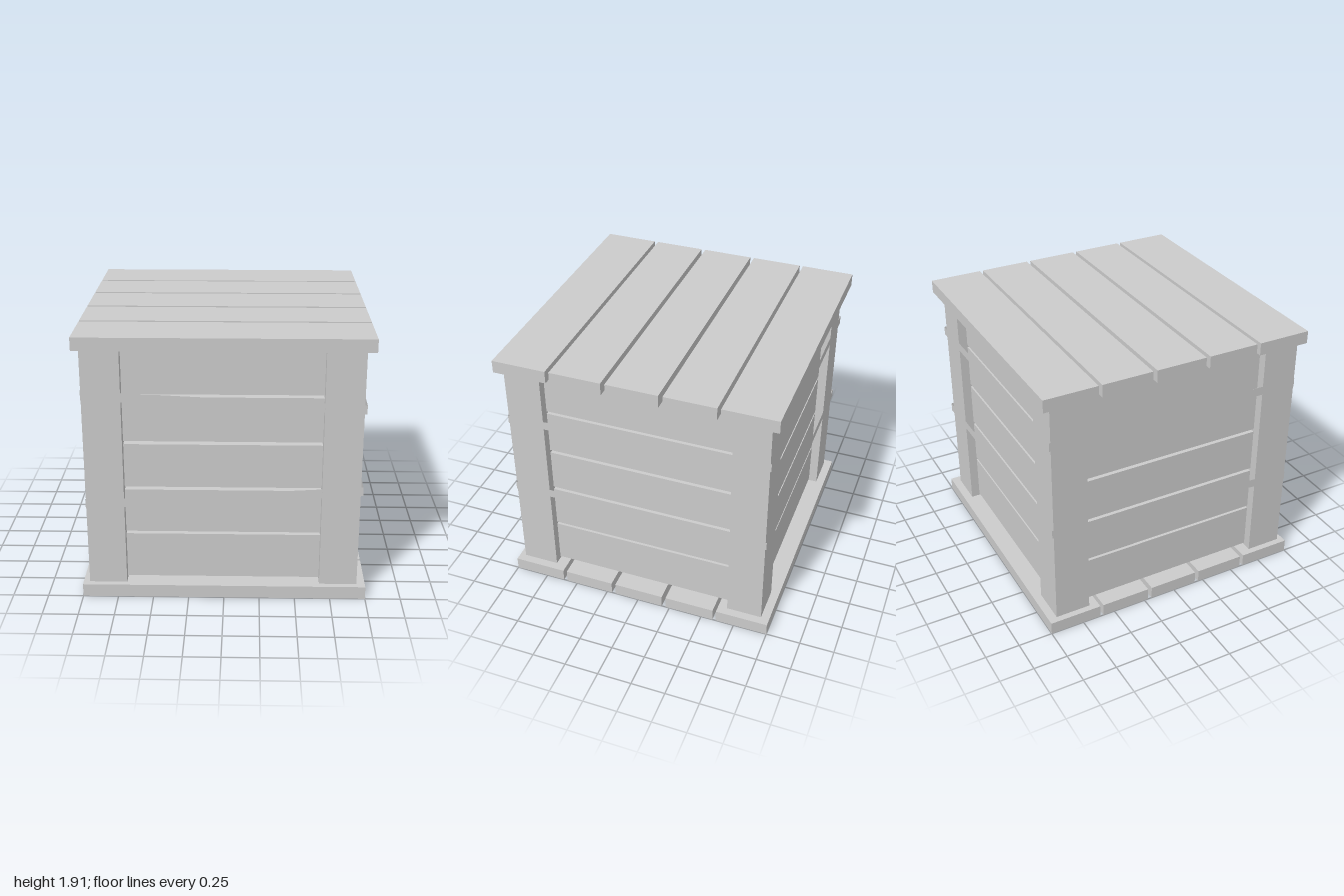
import * as THREE from 'three';

export function createModel() {
  const crate = new THREE.Group();
  crate.name = 'crate';
  const wood = new THREE.MeshStandardMaterial({ color: 0xcccccc, flatShading: true });
  const band = new THREE.MeshStandardMaterial({ color: 0xcccccc, flatShading: true, side: THREE.DoubleSide });

  // Box given by its lower and upper limits on each axis
  const board = (name, [x0, x1], [y0, y1], [z0, z1]) => {
    const mesh = new THREE.Mesh(new THREE.BoxGeometry(x1 - x0, y1 - y0, z1 - z0), wood);
    mesh.position.set((x0 + x1) / 2, (y0 + y1) / 2, (z0 + z1) / 2);
    mesh.name = name;
    crate.add(mesh);
  };

  // Lid and base: five planks each, running left to right
  const deckRows = [[-1, -0.613], [-0.588, -0.22], [-0.19, 0.182], [0.212, 0.582], [0.61, 1]];
  for (const z of deckRows) {
    board('basePlank', [-1, 1], [0, 0.093], z);
    board('lidPlank', [-1, 1], [1.82, 1.912], z);
  }

  // Corner posts
  const postSpans = [[-0.955, -0.69], [0.675, 0.94]];
  const postDepths = [[-0.938, -0.68], [0.692, 0.956]];
  for (const x of postSpans) for (const z of postDepths) board('cornerPost', x, [0.093, 1.82], z);

  // Recessed wall planks on all four sides
  const wallRows = [[0.11, 0.445], [0.465, 0.785], [0.808, 1.125], [1.148, 1.468], [1.488, 1.82]];
  for (const y of wallRows) {
    board('frontPlank', [-0.69, 0.675], y, [0.78, 0.89]);
    board('backPlank', [-0.69, 0.675], y, [-0.873, -0.763]);
    board('leftPlank', [0.765, 0.875], y, [-0.68, 0.692]);
    board('rightPlank', [-0.89, -0.78], y, [-0.68, 0.692]);
  }

  // Thin slanting straps wrapped around the posts
  const corners = [[-0.958, 0.958], [0.957, 0.953], [0.957, -0.95], [-0.958, -0.95]];
  const strap = (name, heights) => {
    const points = [], index = [];
    corners.forEach(([x, z], i) => {
      points.push(x, heights[i], z, x, heights[i] + 0.064, z);
      const a = 2 * i, b = 2 * ((i + 1) % 4);
      index.push(a, b, b + 1, a, b + 1, a + 1);
    });
    let geometry = new THREE.BufferGeometry();
    geometry.setAttribute('position', new THREE.Float32BufferAttribute(points, 3));
    geometry.setIndex(index);
    geometry = geometry.toNonIndexed();
    geometry.computeVertexNormals();
    const mesh = new THREE.Mesh(geometry, band);
    mesh.name = name;
    crate.add(mesh);
  };
  strap('upperStrap', [1.466, 1.377, 1.468, 1.497]);
  strap('lowerStrap', [0.667, 0.78, 0.78, 0.8]);

  return crate;
}
